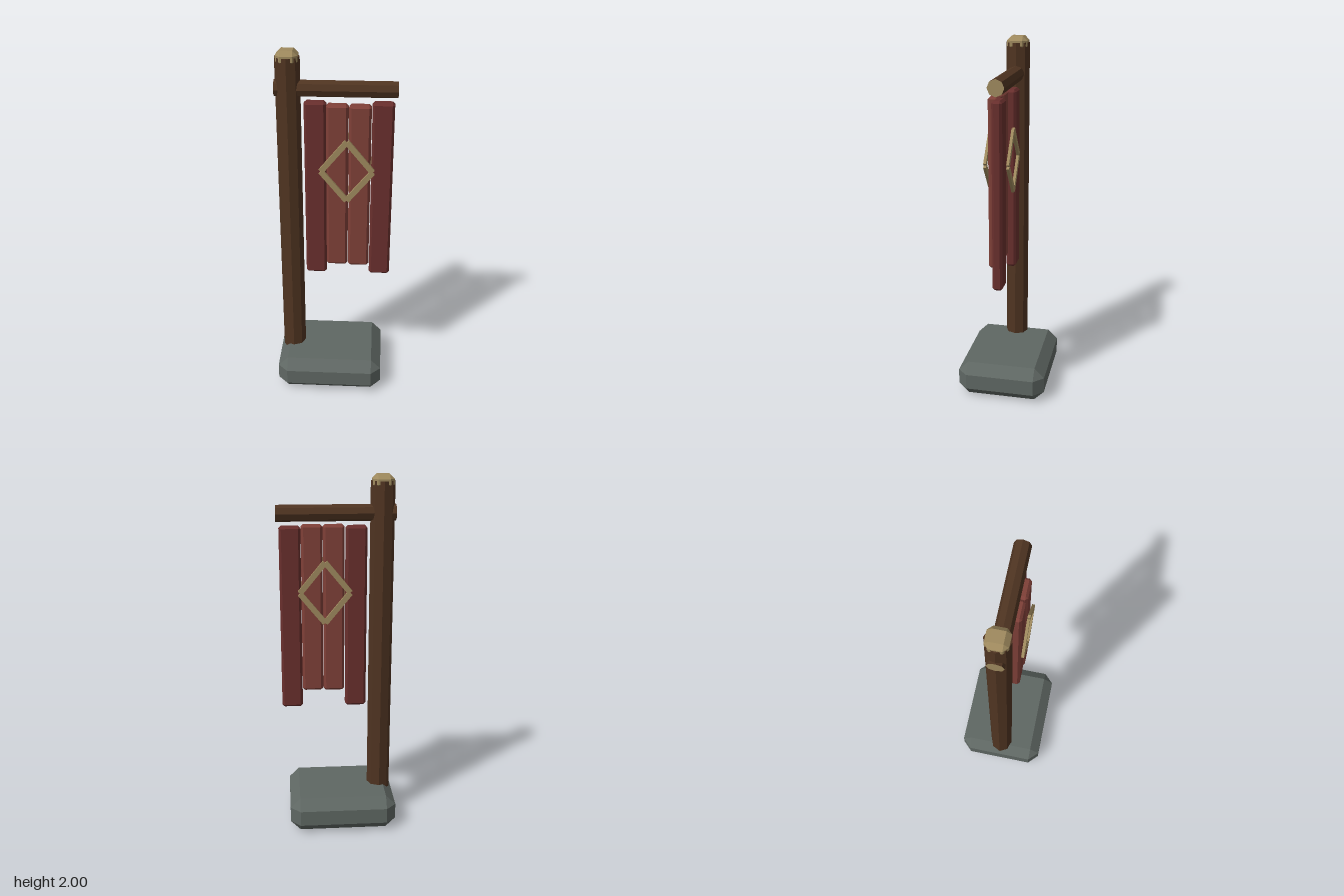
import * as THREE from 'three';
import { ConvexGeometry } from 'three/addons/geometries/ConvexGeometry.js';

const material = (color) => new THREE.MeshStandardMaterial({ color, flatShading: true });

// Box with every edge and corner cut at 45 degrees
function chamferBox(w, h, d, c) {
  const points = [];
  for (const x of [-1, 1]) for (const y of [-1, 1]) for (const z of [-1, 1]) {
    for (let axis = 0; axis < 3; axis++) {
      const inset = [c, c, c];
      inset[axis] = 0;
      points.push(new THREE.Vector3(
        x * (w / 2 - inset[0]), y * (h / 2 - inset[1]), z * (d / 2 - inset[2])));
    }
  }
  return new ConvexGeometry(points);
}

export function createModel() {
  const model = new THREE.Group();
  model.name = 'hangingSign';

  const stone = material(0x5f6763);
  const wood = material(0x4f3421);
  const paleWood = material(0x9f8a5e);
  const outerRed = material(0x692f2d);
  const innerRed = material(0x7f4038);

  const add = (parent, name, geometry, mat, x, y, z) => {
    const mesh = new THREE.Mesh(geometry, mat);
    mesh.name = name;
    mesh.position.set(x, y, z);
    parent.add(mesh);
    return mesh;
  };

  // Stone foot
  add(model, 'base', chamferBox(0.606, 0.2, 0.5, 0.056), stone, -0.025, 0.1, 0);

  // Octagonal post with a pale cap
  add(model, 'post', new THREE.CylinderGeometry(0.066, 0.066, 1.865, 8), wood, -0.247, 1.0325, 0);
  add(model, 'postCap', chamferBox(0.114, 0.08, 0.114, 0.025), paleWood, -0.247, 1.96, 0);

  // Octagonal crossbeam with pale cut ends
  const beam = add(model, 'crossbeam', new THREE.CylinderGeometry(0.045, 0.045, 0.645, 8),
    [wood, paleWood, paleWood], 0.004, 1.797, 0);
  beam.rotation.z = Math.PI / 2;

  // Hanging boards: centre x, bottom y, centre z, material
  const boards = new THREE.Group();
  boards.name = 'boards';
  model.add(boards);
  const boardTop = 1.73;
  [
    [-0.107, 0.70, 0, outerRed],
    [0.013, 0.78, 0.041, innerRed],
    [0.133, 0.78, 0.047, innerRed],
    [0.253, 0.70, 0, outerRed],
  ].forEach(([x, bottom, z, mat], i) => {
    const height = boardTop - bottom;
    add(boards, `board${i + 1}`, chamferBox(0.117, height, 0.056, 0.013), mat, x, bottom + height / 2, z);
  });

  // Diamond frames of four bars, front and back
  for (const [name, z] of [['frontDiamond', 0.087], ['backDiamond', -0.037]]) {
    const diamond = new THREE.Group();
    diamond.name = name;
    diamond.position.set(0.065, 1.368, z);
    model.add(diamond);
    for (const sx of [-1, 1]) for (const sy of [-1, 1]) {
      const bar = add(diamond, 'diamondBar', new THREE.BoxGeometry(0.216, 0.03, 0.015),
        paleWood, sx * 0.069, sy * 0.085, 0);
      bar.rotation.z = -sx * sy * 0.885;
    }
  }

  return model;
}
